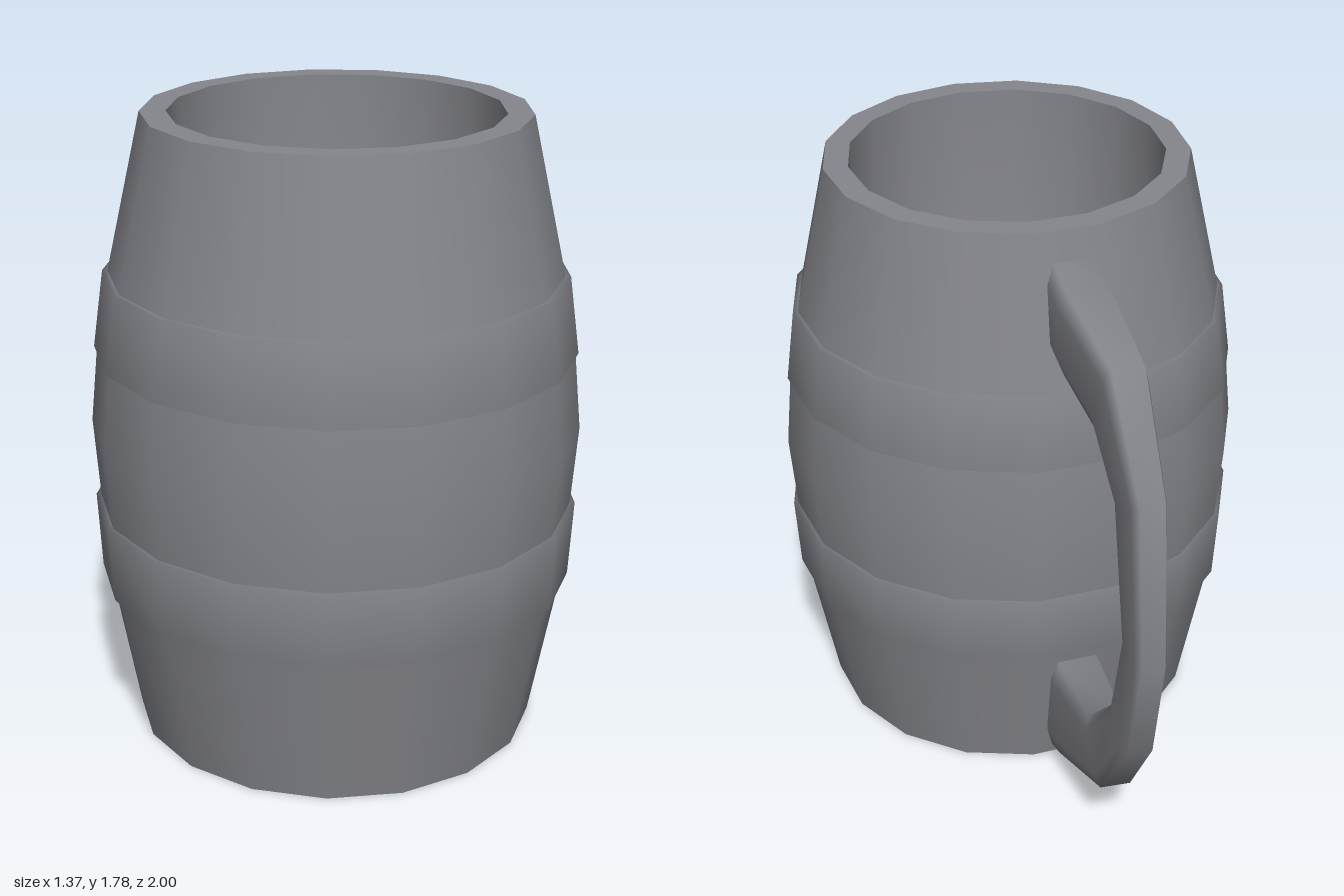
import * as THREE from 'three';

const SIDES = 17;
const CENTRE_Z = 0.31;

export function createModel() {
  const group = new THREE.Group();
  const greyMetal = new THREE.MeshStandardMaterial({ color: 0x85868c });
  greyMetal.name = 'greyMetal';

  const add = (name, geometry) => {
    const mesh = new THREE.Mesh(geometry, greyMetal);
    mesh.name = name;
    group.add(mesh);
    return mesh;
  };

  // Turned part: profile of [radius, height], a polygon corner on +x
  const turned = (name, profile) => {
    const points = profile.map(([r, y]) => new THREE.Vector2(r, y));
    const geometry = new THREE.LatheGeometry(points, SIDES);
    geometry.rotateY(Math.PI / 2);
    geometry.translate(0, 0, CENTRE_Z);
    return add(name, geometry);
  };

  // Barrel body; each piece is separate so its edges stay crisp
  turned('base', [[0, 0], [0.575, 0]]);
  turned('lowerBody', [[0.575, 0], [0.658, 0.45]]);
  turned('lowerBand', [[0.64, 0.45], [0.674, 0.45], [0.686, 0.67], [0.65, 0.67]]);
  turned('belly', [[0.672, 0.67], [0.689, 0.9], [0.668, 1.12]]);
  turned('upperBand', [[0.64, 1.12], [0.676, 1.12], [0.646, 1.34], [0.62, 1.34]]);
  turned('upperBody', [[0.631, 1.34], [0.532, 1.785]]);
  turned('rim', [[0.532, 1.785], [0.46, 1.785]]);
  turned('cavity', [[0.46, 1.785], [0.46, 0.14], [0, 0.12]]);

  add('handle', handleGeometry());
  return group;
}

// Handle: tapering bevelled sections between an outer and an inner edge
function handleGeometry() {
  // [outer z, outer y, inner z, inner y]
  const stations = [
    [-0.20, 1.70, -0.22, 1.43],
    [-0.36, 1.682, -0.36, 1.425],
    [-0.72, 1.64, -0.60, 1.405],
    [-0.945, 1.365, -0.77, 1.28],
    [-1.00, 0.89, -0.86, 0.90],
    [-0.92, 0.545, -0.785, 0.61],
    [-0.72, 0.25, -0.61, 0.43],
    [-0.36, 0.08, -0.36, 0.413],
    [-0.22, 0.012, -0.22, 0.405],
  ];
  // [position from outer to inner edge, side]
  const section = [
    [0, 0.75], [0.2, 1], [0.8, 1], [1, 0.75],
    [1, -0.75], [0.8, -1], [0.2, -1], [0, -0.75],
  ];
  const n = section.length;
  const positions = [];
  const indices = [];

  stations.forEach(([oz, oy, iz, iy], i) => {
    for (const [t, side] of section) {
      const z = THREE.MathUtils.lerp(oz, iz, t);
      const y = THREE.MathUtils.lerp(oy, iy, t);
      // Thinner and slightly further to -x away from the body
      const out = THREE.MathUtils.clamp((-0.36 - z) / 0.64, 0, 1);
      const halfWidth = 0.08 - 0.038 * out;
      positions.push(-0.066 - 0.026 * out + side * halfWidth, y, z);
    }
    if (i === 0) return;
    for (let j = 0; j < n; j++) {
      const k = (j + 1) % n;
      const a = (i - 1) * n + j, b = (i - 1) * n + k;
      const c = i * n + j, d = i * n + k;
      indices.push(a, b, c, b, d, c);
    }
  });

  const geometry = new THREE.BufferGeometry();
  geometry.setAttribute('position', new THREE.Float32BufferAttribute(positions, 3));
  geometry.setIndex(indices);
  geometry.computeVertexNormals();
  return geometry;
}
